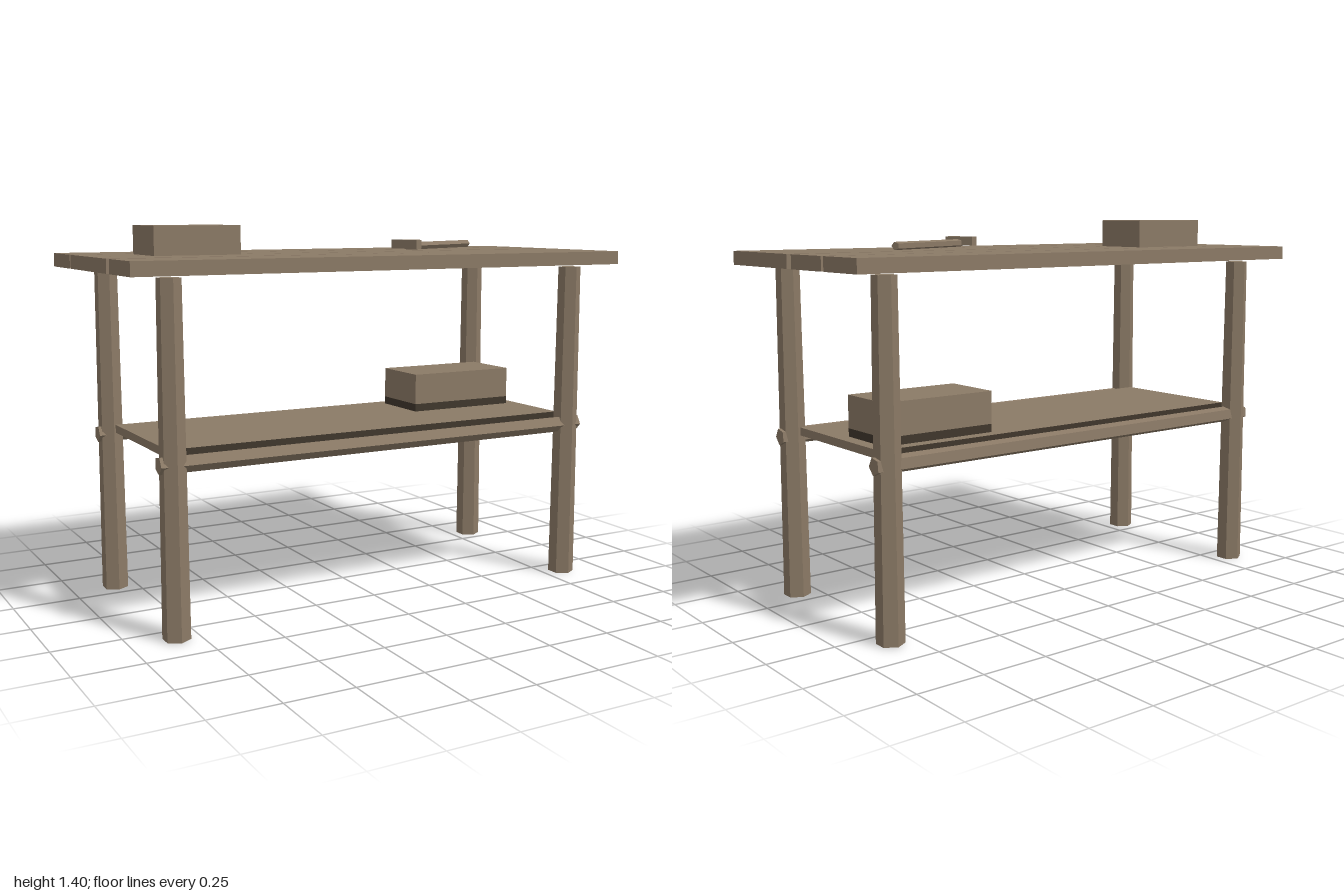
import * as THREE from 'three';

const wood = new THREE.MeshStandardMaterial({ color: 0x8b7a66, flatShading: true });
wood.name = 'wood';
const darkWood = new THREE.MeshStandardMaterial({ color: 0x40372c, flatShading: true });
darkWood.name = 'darkWood';

export function createModel() {
  const model = new THREE.Group();
  model.name = 'workbench';

  const add = (name, geometry, material = wood, parent = model) => {
    const mesh = new THREE.Mesh(geometry, material);
    mesh.name = name;
    parent.add(mesh);
    return mesh;
  };
  // Box given by its minimum and maximum corners
  const block = (x0, x1, y0, y1, z0, z1) =>
    new THREE.BoxGeometry(x1 - x0, y1 - y0, z1 - z0)
      .translate((x0 + x1) / 2, (y0 + y1) / 2, (z0 + z1) / 2);

  // Slightly skewed planks: back and front z at the -x end, then at the +x end
  const planks = [
    [-0.43, -0.22, -0.45, -0.24],
    [-0.21, -0.002, -0.225, -0.02],
    [-0.002, 0.203, 0.012, 0.228],
    [0.235, 0.445, 0.213, 0.425],
  ];
  planks.forEach(([backL, frontL, backR, frontR], i) => {
    const geometry = block(-1, 1, 1.245, 1.295, -1, 1);
    const p = geometry.attributes.position;
    for (let k = 0; k < p.count; k++) {
      const front = p.getZ(k) > 0;
      p.setZ(k, p.getX(k) < 0 ? (front ? frontL : backL) : (front ? frontR : backR));
    }
    geometry.computeVertexNormals();
    add(`topPlank${i + 1}`, geometry);
  });

  // Tapered six-sided legs, and five-sided rails running through them
  for (const z of [0.335, -0.333]) {
    for (const x of [-0.833, 0.833]) {
      add('leg', new THREE.CylinderGeometry(0.043, 0.05, 1.235, 6)).position.set(x, 0.6175, z);
    }
    const rail = add('rail', new THREE.CylinderGeometry(0.032, 0.032, 1.77, 5).rotateZ(Math.PI / 2));
    rail.position.set(0, 0.612, z);
    rail.rotation.x = 0.12;
  }

  // Shelf with dark long edges
  add('shelf', block(-0.83, 0.83, 0.62, 0.65, -0.278, 0.278),
    [wood, wood, wood, wood, darkWood, darkWood]);

  // Storage boxes
  add('lowerBoxBase', block(0.33, 0.78, 0.65, 0.68, -0.23, 0.01), darkWood);
  add('lowerBox', block(0.33, 0.78, 0.68, 0.8, -0.23, 0.01));
  add('upperBox', block(-0.78, -0.45, 1.295, 1.4, -0.165, 0.055));

  // Hammer lying on the top
  const hammer = new THREE.Group();
  hammer.name = 'hammer';
  hammer.position.set(0.22, 1.325, 0.108);
  hammer.rotation.y = 0.48;
  model.add(hammer);
  add('hammerHead', new THREE.BoxGeometry(0.038, 0.034, 0.112), wood, hammer);
  add('hammerHandle',
    new THREE.CylinderGeometry(0.015, 0.015, 0.49, 5).rotateZ(Math.PI / 2).translate(0.245, -0.007, 0),
    wood, hammer);

  return model;
}
